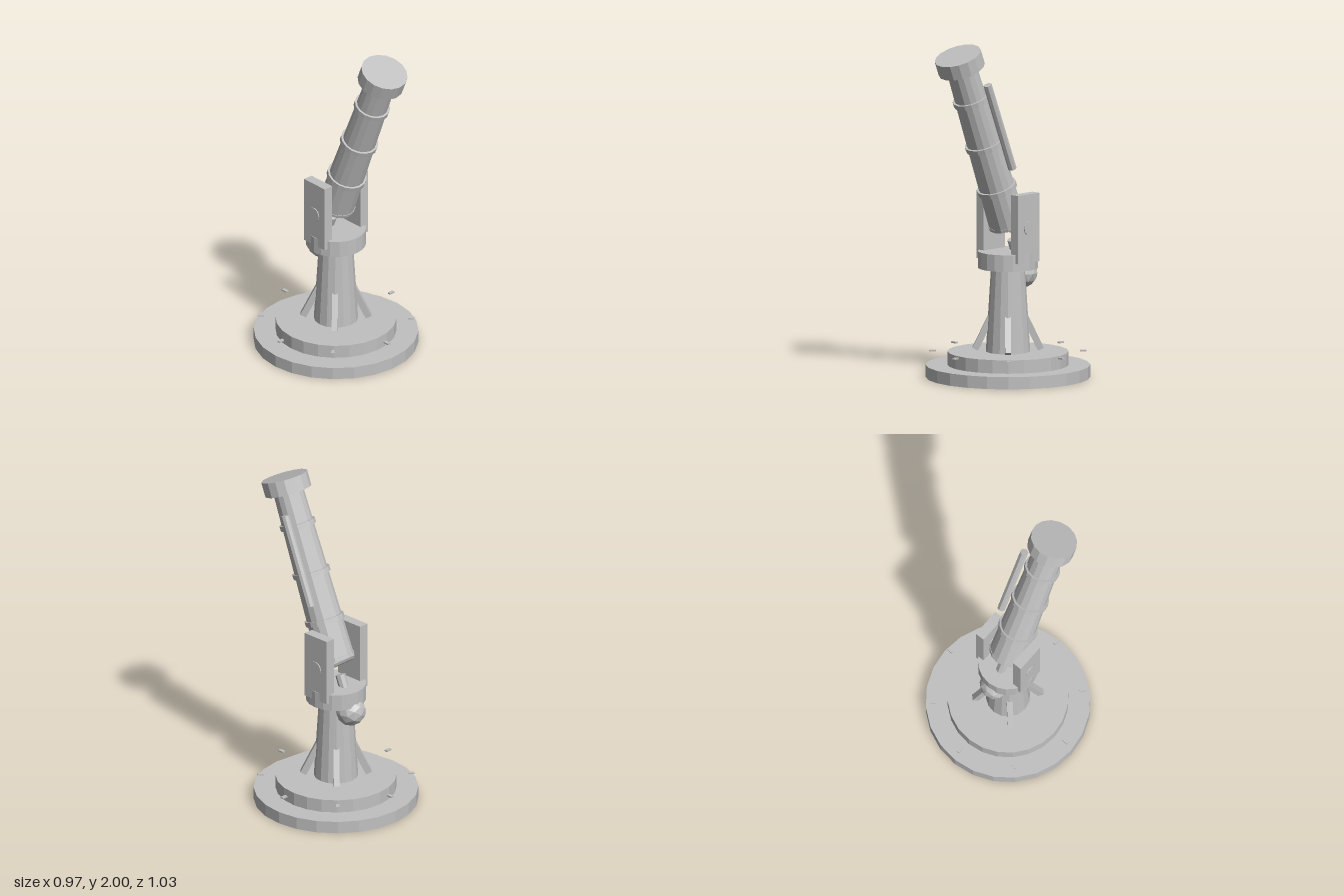
import * as THREE from 'three';

export function createModel() {
  const model = new THREE.Group();
  model.name = 'telescope';
  const grey = new THREE.MeshStandardMaterial({ color: 0xc0c0c0, flatShading: true });
  grey.name = 'light grey';

  const add = (parent, name, geometry, x = 0, y = 0, z = 0) => {
    const mesh = new THREE.Mesh(geometry, grey);
    mesh.name = name;
    mesh.position.set(x, y, z);
    parent.add(mesh);
    return mesh;
  };
  // Upright cylinder between two heights
  const drum = (parent, name, y0, y1, r0, r1, sides, x = 0, z = 0) =>
    add(parent, name, new THREE.CylinderGeometry(r1, r0, y1 - y0, sides), x, (y0 + y1) / 2, z);

  // Everything on the pier shares one vertical axis
  const mount = new THREE.Group();
  mount.name = 'mount';
  mount.position.z = -0.036;
  model.add(mount);

  // Stepped base, pier and collar
  drum(mount, 'baseLower', 0, 0.073, 0.483, 0.483, 24);
  drum(mount, 'baseUpper', 0.073, 0.152, 0.355, 0.355, 24);
  drum(mount, 'pier', 0.152, 0.65, 0.13, 0.1, 16);
  drum(mount, 'collar', 0.648, 0.747, 0.177, 0.177, 20);

  // Ring of small plates around the base
  for (let i = 0; i < 8; i++) {
    const a = (i * Math.PI) / 4;
    const plate = add(mount, 'basePlate', new THREE.BoxGeometry(0.02, 0.009, 0.037),
      0.44 * Math.sin(a), 0.156, 0.44 * Math.cos(a));
    plate.rotation.y = a;
  }

  // Four leaning braces on the diagonals
  for (let i = 0; i < 4; i++) {
    const arm = new THREE.Group();
    arm.name = 'brace';
    arm.rotation.y = Math.PI / 4 + (i * Math.PI) / 2;
    mount.add(arm);
    const brace = add(arm, 'braceBar', new THREE.BoxGeometry(0.035, 0.24, 0.038), 0, 0.273, 0.14);
    brace.rotation.x = -0.45;
  }

  // Fork arms with the axle through them
  for (const side of [-1, 1]) {
    add(mount, 'forkArm', new THREE.BoxGeometry(0.06, 0.405, 0.178), side * 0.142, 0.8975, 0);
  }
  const axle = add(mount, 'axle', new THREE.CylinderGeometry(0.042, 0.042, 0.356, 12), 0, 0.9, 0);
  axle.rotation.z = Math.PI / 2;

  // Motor ball behind the collar
  add(mount, 'motorBall', new THREE.IcosahedronGeometry(0.09, 1), 0, 0.605, -0.12);

  // Tilted optical assembly, built along its own y axis
  const tube = new THREE.Group();
  tube.name = 'tubeAssembly';
  tube.position.set(0, 0.905, -0.034);
  tube.rotation.x = 0.38;
  model.add(tube);
  drum(tube, 'mainTube', 0, 1.04, 0.111, 0.09, 16);
  drum(tube, 'rearLip', 0, 0.018, 0.114, 0.114, 16);
  drum(tube, 'frontCap', 1.035, 1.125, 0.14, 0.14, 16);
  for (const [y, r] of [[0.242, 0.118], [0.533, 0.113], [0.83, 0.107]]) {
    drum(tube, 'tubeRing', y - 0.015, y + 0.015, r, r, 16);
  }
  drum(tube, 'finderTube', 0.358, 0.918, 0.025, 0.025, 8, 0.123, -0.051);
  drum(tube, 'eyepiece', -0.18, -0.1, 0.03, 0.03, 8);

  return model;
}
